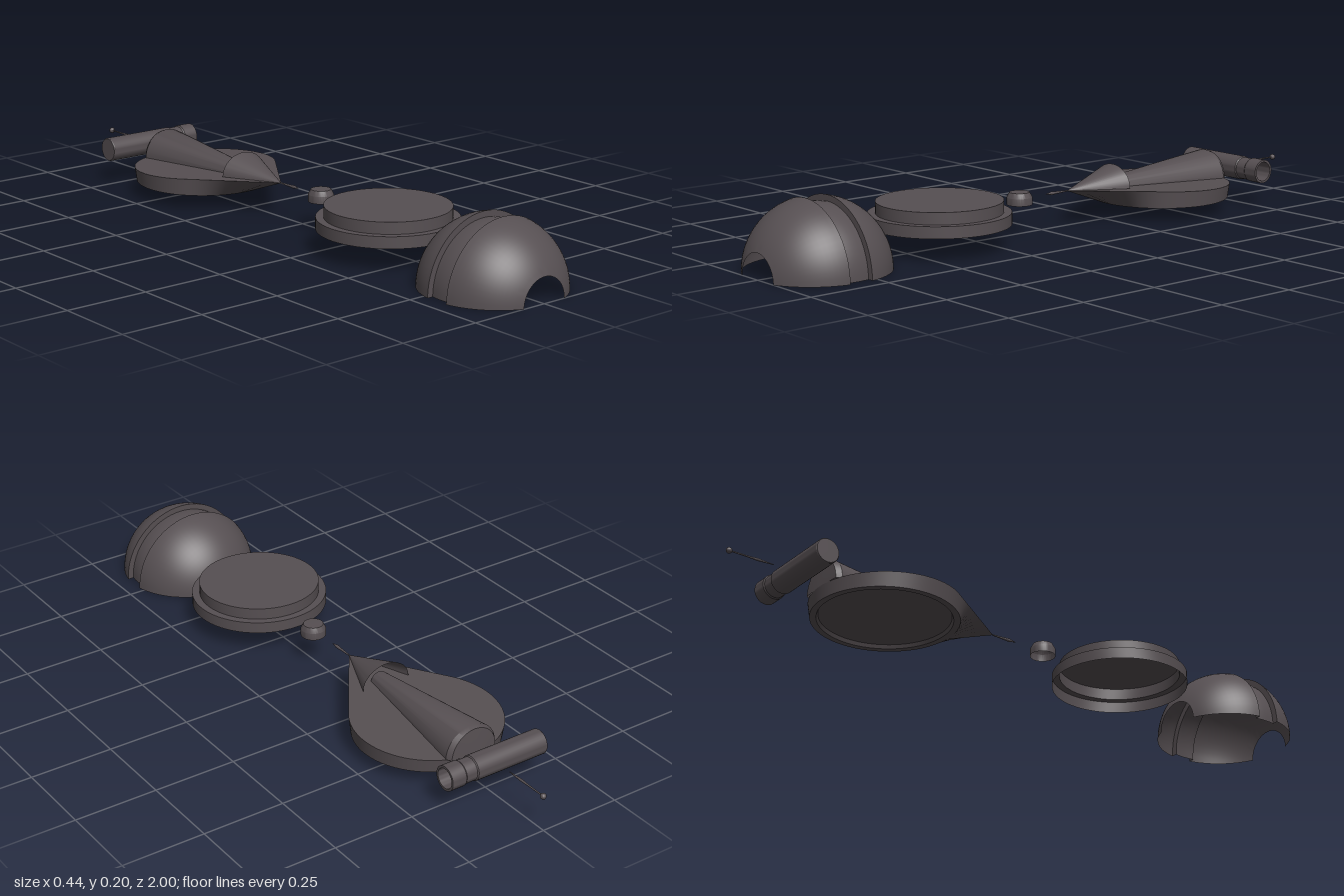
import * as THREE from 'three';
import { toCreasedNormals } from 'three/addons/utils/BufferGeometryUtils.js';

const darkGrey = new THREE.MeshStandardMaterial({ color: 0x564f52, side: THREE.DoubleSide });
darkGrey.name = 'dark grey';

const v2 = (pts) => pts.map(([r, y]) => new THREE.Vector2(r, y));

// Skin a list of rings, each with the same number of [x, y, z] points
function loft(rings) {
  const n = rings[0].length;
  const index = [];
  for (let i = 0; i < rings.length - 1; i++) {
    for (let j = 0; j < n - 1; j++) {
      const a = i * n + j, b = a + 1, c = a + n, d = c + 1;
      index.push(a, c, b, b, c, d);
    }
  }
  const geo = new THREE.BufferGeometry();
  geo.setAttribute('position', new THREE.Float32BufferAttribute(rings.flat(2), 3));
  geo.setIndex(index);
  return geo;
}

// Half-ellipse arch across x at depth z
function arch(z, base, w, h, n = 24) {
  return Array.from({ length: n + 1 }, (_, i) => {
    const a = (Math.PI * i) / n;
    return [w * Math.cos(a), base + h * Math.sin(a), z];
  });
}

// Points on a circle of radius R between two positions along its axis
function arc(R, from, to, n) {
  return Array.from({ length: n + 1 }, (_, i) => {
    const a0 = Math.asin(from / R), a1 = Math.asin(to / R);
    const a = a0 + ((a1 - a0) * i) / n;
    return [R * Math.cos(a), R * Math.sin(a)];
  });
}

export function createModel() {
  const model = new THREE.Group();
  const add = (name, geo, x = 0, y = 0, z = 0) => {
    const mesh = new THREE.Mesh(toCreasedNormals(geo, 0.5), darkGrey);
    mesh.name = name;
    mesh.position.set(x, y, z);
    model.add(mesh);
  };

  // Half-sphere shell with a sunken band and a round opening at both ends
  const domeProfile = [
    ...arc(0.208, -0.194, -0.036, 14),
    ...arc(0.19, -0.036, 0.036, 4),
    ...arc(0.208, 0.036, 0.194, 14),
  ];
  add('dome', new THREE.LatheGeometry(v2(domeProfile), 32, Math.PI / 2, Math.PI)
    .rotateX(Math.PI / 2), 0, 0, 0.806);

  // Stepped lid, hollow underneath
  add('lid', new THREE.LatheGeometry(v2([
    [0.207, 0.07], [0.207, 0.105], [0.184, 0.105], [0.184, 0.14], [0, 0.14],
  ]), 64), 0, 0, 0.382);

  // Small button with a bevelled top
  add('button', new THREE.LatheGeometry(v2([
    [0.038, 0.088], [0.038, 0.11], [0.03, 0.125], [0, 0.126],
  ]), 32), 0, 0, 0.085);

  // Teardrop base: pointed upper outline narrowing to a round underside
  const R = 0.22, cz = -0.48, tangent = Math.acos(R / 0.38), N = 96;
  const topY = (z) => 0.105 - 0.035 * (-0.1 - z);
  const ring = (radius, height) => Array.from({ length: N + 1 }, (_, i) => {
    const a = (i / N) * 2 * Math.PI - Math.PI;
    const r = radius(Math.abs(a)), z = cz + r * Math.cos(a);
    return [r * Math.sin(a), height(z), z];
  });
  const tear = (a) => (a < tangent ? R / Math.cos(tangent - a) : R);
  add('teardropBase', loft([
    ring(() => 0, topY),
    ring(tear, topY),
    ring(() => 0.214, () => 0.044),
    ring(() => 0.195, () => 0.044),
    ring(() => 0.19, () => 0.055),
    ring(() => 0, () => 0.055),
  ]));

  // Tapering ridge along the base, closed at the back
  add('ridge', loft([
    arch(-0.25, 0.095, 0.028, 0.028),
    arch(-0.68, 0.083, 0.085, 0.082),
    arch(-0.695, 0.083, 0.075, 0.077),
    arch(-0.7, 0.083, 0, 0),
  ]));

  // Half-cone hood at the pointed end, open at the back
  add('hood', loft([
    arch(-0.1, 0.105, 0, 0),
    arch(-0.285, 0.1, 0.08, 0.065),
  ]));

  // Short spindle ahead of the point
  add('frontNeedle', new THREE.LatheGeometry(v2([
    [0, -0.055], [0.002, -0.04], [0.004, 0.005], [0.005, 0.02], [0, 0.045],
  ]), 12).rotateX(Math.PI / 2), 0, 0.105, -0.06);

  // Cross tube with a collar and a recessed mouth at its left end
  add('crossTube', new THREE.LatheGeometry(v2([
    [0, -0.163], [0.035, -0.163], [0.037, -0.16], [0.037, 0.075], [0.034, 0.078],
    [0.034, 0.113], [0.037, 0.117], [0.037, 0.163], [0.03, 0.163], [0.03, 0.1], [0, 0.1],
  ]), 32).rotateZ(-Math.PI / 2), 0, 0.105, -0.777);

  // Rear pin with a small bead
  add('rearPin', new THREE.LatheGeometry(v2([
    [0.002, -0.145], [0.0025, -0.08], [0.004, -0.05], [0.001, 0],
  ]), 12).rotateX(Math.PI / 2), 0, 0.105, -0.85);
  add('rearBead', new THREE.SphereGeometry(0.009, 16, 12), 0, 0.105, -0.991);

  return model;
}
